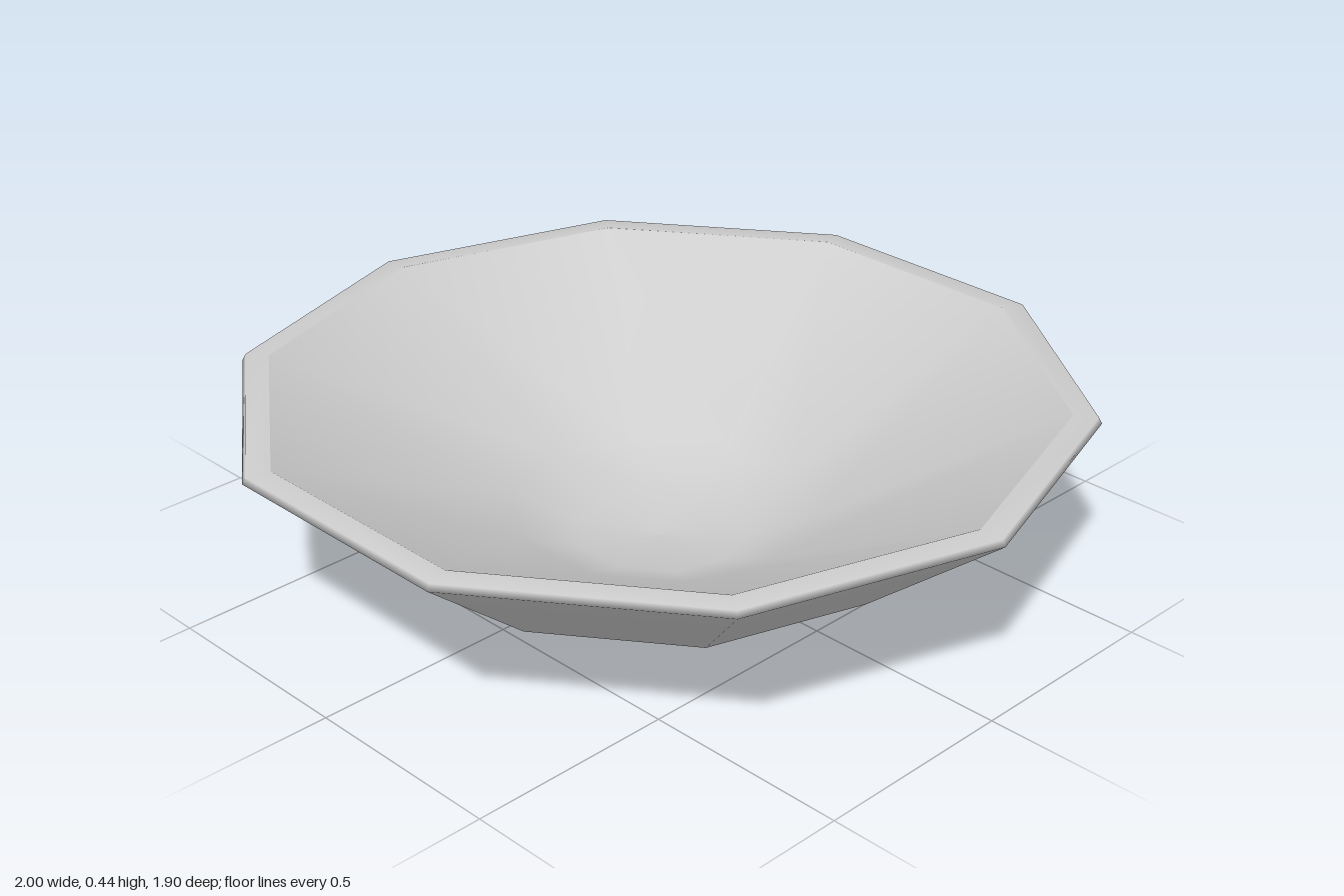
import * as THREE from 'three';

const SIDES = 10;

// Ten-sided smooth surface of revolution with corners on the x axis
function turned(name, profile, material) {
  const points = profile.map(([r, y]) => new THREE.Vector2(r, y));
  const mesh = new THREE.Mesh(new THREE.LatheGeometry(points, SIDES, Math.PI / 2), material);
  mesh.name = name;
  return mesh;
}

export function createModel() {
  const group = new THREE.Group();
  group.name = 'bowl';
  const material = new THREE.MeshStandardMaterial({ color: 0xcccccc });

  // Underside, flaring wall and bevelled rim
  group.add(turned('outerShellAndRim', [
    [0, 0], [0.22, 0.002], [0.45, 0.036], [0.64, 0.132],
    [1, 0.426], [0.992, 0.441], [0.935, 0.442],
  ], material));

  // Shallow, nearly conical inside
  group.add(turned('innerSurface', [
    [0.935, 0.442], [0.36, 0.127], [0.2, 0.06], [0, 0.045],
  ], material));

  return group;
}
